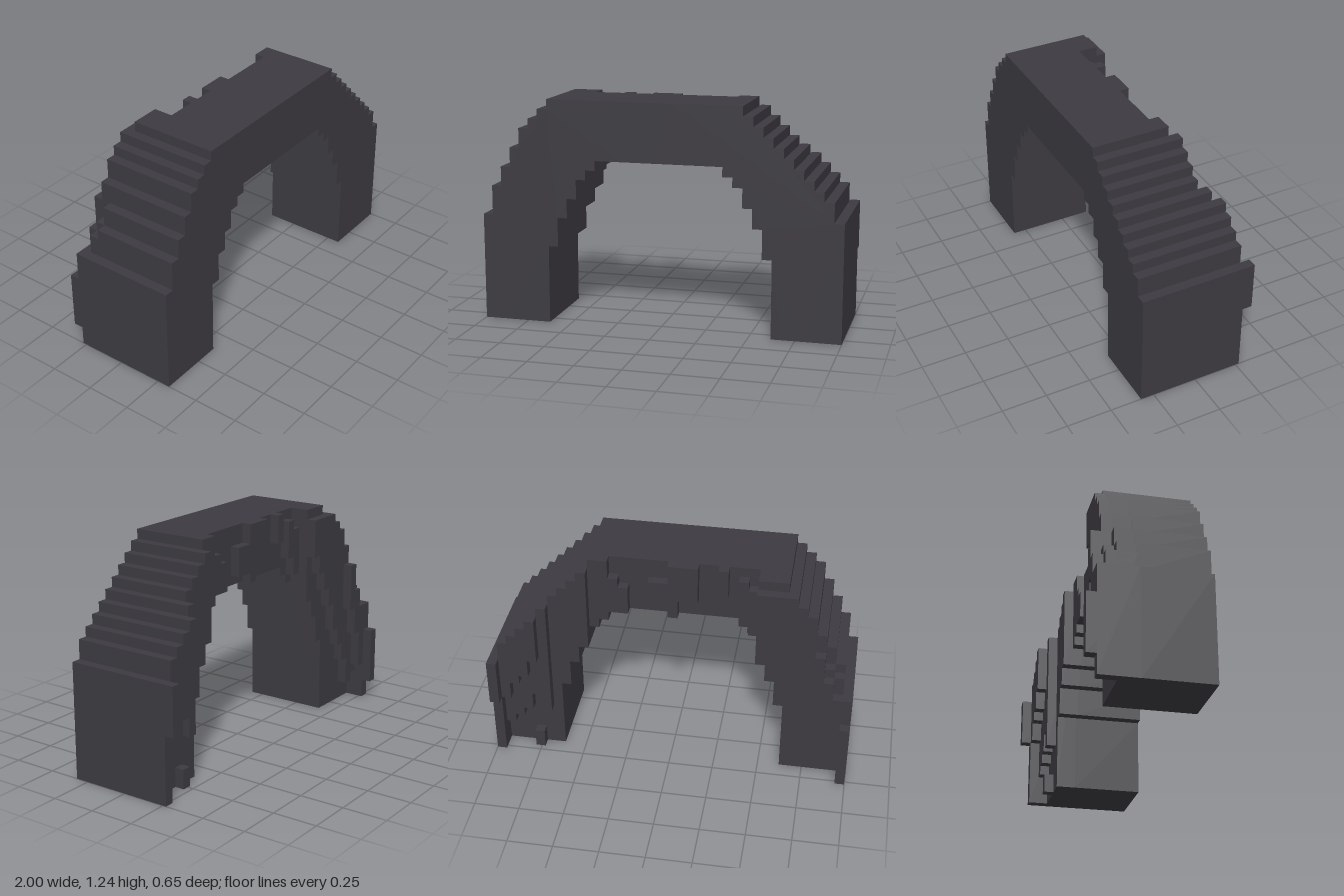
import * as THREE from 'three';

const U = 2 / 37;        // one block
const FRONT = 6;         // front plane, in blocks
const CORE = 7;          // thickness of the solid arch, in blocks

export function createModel() {
  const model = new THREE.Group();
  model.name = 'blockArch';
  const stone = new THREE.MeshStandardMaterial({ color: 0x3d3b41 });
  stone.name = 'darkStone';

  // Top and underside heights of each one-block column, left to right
  const tops = [11, 14, 16, 18, 20, 21, 22, ...Array(20).fill(23),
    22, 21, 20, 19, 18, 17, 16, 15, 14, 12];
  const legs = Array(7).fill(0);
  const rise = [8, 11, 13, 15, 16];
  const bottoms = [...legs, ...rise, ...Array(13).fill(17), ...[...rise].reverse(), ...legs];

  // Stepped arch outline, extruded from the flat front
  const points = [];
  tops.forEach((y, i) => points.push([i, y], [i + 1, y]));
  for (let i = 36; i >= 0; i--) points.push([i + 1, bottoms[i]], [i, bottoms[i]]);
  const outline = points
    .filter(([x, y], i) => i === 0 || x !== points[i - 1][0] || y !== points[i - 1][1])
    .map(([x, y]) => new THREE.Vector2((x - 18.5) * U, y * U));
  const arch = new THREE.Mesh(
    new THREE.ExtrudeGeometry(new THREE.Shape(outline), { depth: CORE * U, bevelEnabled: false }),
    stone);
  arch.position.z = (FRONT - CORE) * U;
  arch.name = 'arch';
  model.add(arch);

  // Rough back: a bar of blocks on one column, from the core to a given depth
  const back = new THREE.Group();
  back.name = 'roughBack';
  model.add(back);
  function bar(col, y0, y1, depth) {
    const low = Math.max(y0, bottoms[col]);
    const high = Math.min(y1, tops[col]);
    if (high <= low || depth <= CORE) return;
    const d = depth - CORE;
    const mesh = new THREE.Mesh(new THREE.BoxGeometry(U, (high - low) * U, d * U), stone);
    mesh.position.set((col - 18) * U, (low + high) / 2 * U, (FRONT - CORE - d / 2) * U);
    mesh.name = 'backBlocks';
    back.add(mesh);
  }

  // Full-height thickness per run of columns: first, last, depth
  [[0, 0, 11], [1, 9, 9], [25, 26, 8], [27, 35, 9], [36, 36, 11]].forEach(([a, b, depth]) => {
    for (let c = a; c <= b; c++) bar(c, 0, 23, depth);
  });

  // Ledges that jut out further, by depth: column, low, high
  const ledges = {
    8: [[10, 16, 21], [11, 18, 22], [13, 20, 23], [16, 19, 23], [17, 19, 23], [18, 17, 23],
      [19, 18, 21], [20, 18, 21], [23, 17, 20], [24, 17, 21]],
    10: [[1, 3, 13], [2, 2, 14], [3, 5, 18], [4, 7, 20], [5, 9, 21], [6, 12, 22], [7, 14, 22],
      [8, 16, 22], [9, 18, 22], [31, 5, 18], [32, 0, 2], [32, 7, 17], [33, 5, 16],
      [34, 4, 15], [35, 3, 14]],
    11: [[1, 4, 11], [2, 8, 13], [3, 11, 16], [32, 12, 17], [33, 10, 16], [34, 9, 15], [35, 7, 14]],
    12: [[0, 2, 8], [36, 7, 12]],
  };
  for (const [depth, list] of Object.entries(ledges)) {
    list.forEach(([c, low, high]) => bar(c, low, high, Number(depth)));
  }
  return model;
}
